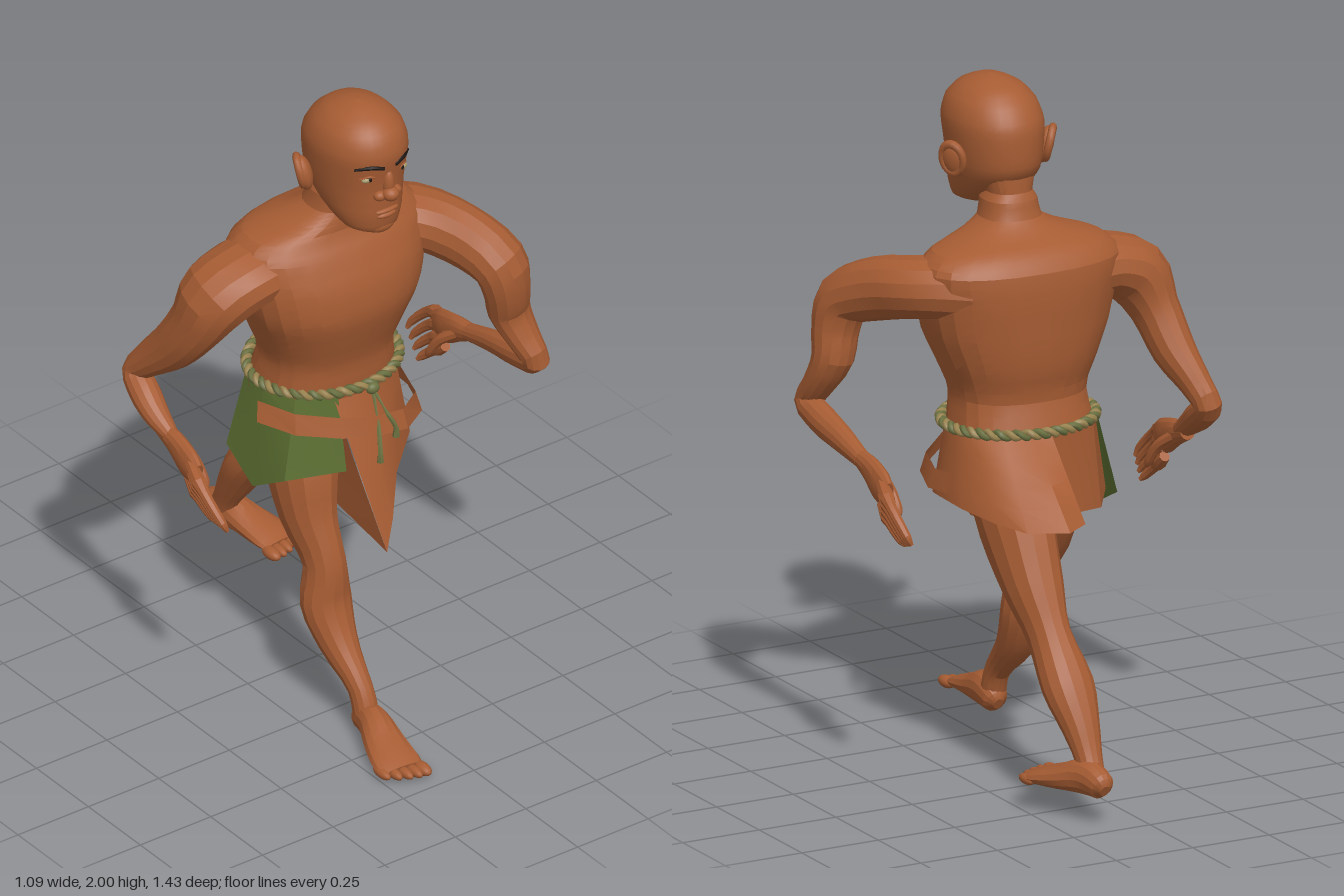
import * as THREE from 'three';
import { toCreasedNormals } from 'three/addons/utils/BufferGeometryUtils.js';

const mat = (name, color, side = THREE.FrontSide) => {
  const m = new THREE.MeshStandardMaterial({ color, side });
  m.name = name;
  return m;
};

// Lofted body through sections [x, y, z, radiusA, radiusB]; radiusA starts along ref; level keeps rings horizontal
function loft(pts, { level = false, sides = 14, steps = 3, power = 1, crease = 0.3, ref = [1, 0, 0] } = {}) {
  const path = new THREE.CatmullRomCurve3(pts.map(p => new THREE.Vector3(p[0], p[1], p[2])));
  const radii = new THREE.CatmullRomCurve3(pts.map(p => new THREE.Vector3(p[3], p[4], 0)));
  const n = (pts.length - 1) * steps, pos = [], idx = [], a = new THREE.Vector3(...ref);
  const shape = v => Math.sign(v) * Math.abs(v) ** power;
  for (let i = 0; i <= n; i++) {
    const c = path.getPoint(i / n), r = radii.getPoint(i / n);
    const t = level ? new THREE.Vector3(0, 1, 0) : path.getTangent(i / n);
    a.addScaledVector(t, -a.dot(t)).normalize();
    const b = t.clone().cross(a);
    for (let j = 0; j < sides; j++) {
      const w = j / sides * Math.PI * 2;
      const p = c.clone().addScaledVector(a, r.x * shape(Math.cos(w))).addScaledVector(b, r.y * shape(Math.sin(w)));
      pos.push(p.x, p.y, p.z);
    }
  }
  const s = (n + 1) * sides, at = (i, j) => i * sides + j % sides;
  pos.push(...path.getPoint(0).toArray(), ...path.getPoint(1).toArray());
  for (let j = 0; j < sides; j++) {
    for (let i = 0; i < n; i++)
      idx.push(at(i, j), at(i, j + 1), at(i + 1, j + 1), at(i, j), at(i + 1, j + 1), at(i + 1, j));
    idx.push(s, at(0, j + 1), at(0, j), s + 1, at(n, j), at(n, j + 1));
  }
  const g = new THREE.BufferGeometry();
  g.setAttribute('position', new THREE.Float32BufferAttribute(pos, 3));
  g.setIndex(idx);
  g.computeVertexNormals();
  return crease ? toCreasedNormals(g, crease) : g;
}

// Cloth sheet hung between columns of [top point, bottom point]
function sheet(cols, rows = 4) {
  const pos = [], idx = [];
  cols.forEach(([t, b]) => {
    for (let r = 0; r <= rows; r++) for (let k = 0; k < 3; k++) pos.push(t[k] + (b[k] - t[k]) * r / rows);
  });
  for (let i = 0; i < cols.length - 1; i++) for (let r = 0; r < rows; r++) {
    const a = i * (rows + 1) + r, b = a + rows + 1;
    idx.push(a, a + 1, b + 1, a, b + 1, b);
  }
  const g = new THREE.BufferGeometry();
  g.setAttribute('position', new THREE.Float32BufferAttribute(pos, 3));
  g.setIndex(idx);
  g.computeVertexNormals();
  return toCreasedNormals(g, 0.5);
}

export function createModel() {
  const root = new THREE.Group();
  const skin = mat('skin', 0xa65c33), dark = mat('brow', 0x1c1511), eyeWhite = mat('eyeWhite', 0xa89a70);
  const tan = mat('tanRope', 0x9a8450), olive = mat('oliveRope', 0x6a7040);
  const cloth = mat('cloth', 0xa65c33, THREE.DoubleSide), green = mat('greenCloth', 0x5a6c30, THREE.DoubleSide);
  const add = (name, geo, m, parent = root) => {
    const mesh = new THREE.Mesh(geo, m);
    mesh.name = name;
    parent.add(mesh);
    return mesh;
  };
  const ball = (name, p, s, m = skin, parent = root) => {
    const b = add(name, new THREE.SphereGeometry(1, 16, 12), m, parent);
    b.position.set(...p);
    b.scale.set(...s);
    return b;
  };
  // Horizontal section from [y, half width, back z, front z]
  const slice = ([y, w, back, front]) => [0, y, (back + front) / 2, w, (front - back) / 2];

  // Torso and neck
  add('torso', loft([[0.78, 0.12, -0.08, 0.1], [0.9, 0.2, -0.15, 0.15], [1, 0.212, -0.16, 0.19], [1.1, 0.2, -0.13, 0.195],
    [1.2, 0.235, -0.148, 0.225], [1.3, 0.278, -0.155, 0.252], [1.4, 0.3, -0.158, 0.24], [1.49, 0.31, -0.15, 0.2],
    [1.54, 0.265, -0.11, 0.17], [1.575, 0.155, -0.05, 0.165], [1.61, 0.09, -0.01, 0.163], [1.66, 0.08, 0.005, 0.165],
    [1.73, 0.08, 0.02, 0.18]].map(slice), { level: true, sides: 24, power: 0.85 }), skin);

  // Head
  add('head', loft([[1.608, 0.035, 0.22, 0.305], [1.63, 0.082, 0.16, 0.325], [1.68, 0.108, 0.07, 0.335], [1.74, 0.122, 0.008, 0.337],
    [1.8, 0.131, 0.0, 0.34], [1.87, 0.137, 0.003, 0.35], [1.93, 0.122, 0.035, 0.335], [1.97, 0.087, 0.08, 0.295],
    [1.993, 0.04, 0.14, 0.24], [2, 0.004, 0.185, 0.195]].map(slice), { level: true, sides: 32, power: 0.95, crease: 0 }), skin);
  ball('noseBridge', [0, 1.79, 0.336], [0.018, 0.045, 0.02]);
  ball('noseTip', [0, 1.76, 0.348], [0.026, 0.022, 0.026]);
  ball('upperLip', [0, 1.697, 0.331], [0.04, 0.008, 0.012]);
  ball('lowerLip', [0, 1.68, 0.328], [0.034, 0.01, 0.013]);
  ball('chin', [0, 1.635, 0.303], [0.045, 0.025, 0.025]);

  for (const s of [-1, 1]) {
    ball('nostril', [s * 0.027, 1.755, 0.333], [0.02, 0.016, 0.018]);
    ball('eye', [s * 0.058, 1.815, 0.318], [0.022, 0.01, 0.012], eyeWhite);
    ball('iris', [s * 0.056, 1.816, 0.326], [0.008, 0.008, 0.005], dark);
    add('upperEyelid', loft([[s * 0.034, 1.818, 0.332, 0.003, 0.003], [s * 0.058, 1.828, 0.329, 0.004, 0.004],
      [s * 0.082, 1.817, 0.31, 0.003, 0.003]], { sides: 6 }), skin);
    add('eyebrow', loft([[s * 0.02, 1.85, 0.345, 0.006, 0.006], [s * 0.055, 1.86, 0.334, 0.008, 0.008],
      [s * 0.095, 1.85, 0.302, 0.004, 0.004]], { sides: 8 }), dark);
    // Ear with raised rim, top leaning outward
    const ear = new THREE.Group();
    ear.name = 'ear';
    ear.position.set(s * 0.15, 1.778, 0.135);
    ear.rotation.set(0, s * 0.55, -s * 0.22);
    root.add(ear);
    ball('earShell', [0, 0, 0], [0.024, 0.056, 0.038], skin, ear);
    const rim = add('earRim', new THREE.TorusGeometry(0.041, 0.012, 8, 20), skin, ear);
    rim.position.set(s * 0.01, 0.008, -0.003);
    rim.rotation.y = Math.PI / 2;
    rim.scale.set(0.85, 1.12, 1);
    ball('buttock', [s * 0.09, 0.9, -0.06], [0.11, 0.1, 0.1]);
  }

  // Arms: the left elbow points forward, the right elbow points back
  const armShape = { ref: [0, 0, 1] };
  add('leftArm', loft([[0.16, 1.43, 0.0, 0.13, 0.1], [0.28, 1.432, 0.07, 0.11, 0.09], [0.36, 1.405, 0.2, 0.085, 0.093],
    [0.41, 1.35, 0.31, 0.088, 0.082], [0.43, 1.265, 0.325, 0.08, 0.068], [0.445, 1.18, 0.315, 0.07, 0.06],
    [0.465, 1.1, 0.355, 0.055, 0.047], [0.48, 1.035, 0.395, 0.04, 0.042], [0.488, 1.005, 0.3, 0.04, 0.044],
    [0.49, 0.98, 0.18, 0.032, 0.038], [0.49, 0.95, 0.06, 0.026, 0.026]], armShape), skin);
  add('rightArm', loft([[-0.16, 1.43, 0.02, 0.13, 0.1], [-0.28, 1.432, 0.03, 0.13, 0.09], [-0.375, 1.39, 0.02, 0.12, 0.1],
    [-0.42, 1.29, -0.02, 0.095, 0.072], [-0.44, 1.18, -0.1, 0.075, 0.063], [-0.465, 1.1, -0.18, 0.055, 0.047],
    [-0.48, 1.045, -0.225, 0.04, 0.042], [-0.49, 1.0, -0.17, 0.042, 0.046], [-0.495, 0.96, -0.11, 0.035, 0.04],
    [-0.49, 0.92, -0.05, 0.026, 0.026]], armShape), skin);

  // Hand reaching along z in direction d
  const hand = (name, s, y, z, d) => {
    const P = (x, up, f, a, b) => [s * (0.49 + x), y + up, z + d * f, a, b];
    add(name + 'Palm', loft([P(0, 0.005, -0.02, 0.024, 0.024), P(0, -0.015, 0.05, 0.026, 0.04),
      P(0.005, -0.045, 0.12, 0.026, 0.052), P(0.01, -0.06, 0.165, 0.018, 0.042)]), skin);
    for (let k = 0; k < 4; k++) {
      const x = 0.03 - k * 0.014;
      add(name + 'Finger', loft([P(x * 0.5, -0.03 - k * 0.024, 0.14 - k * 0.012, 0.016, 0.016),
        P(x + 0.01, -0.07 - k * 0.026, 0.24 - k * 0.025, 0.016, 0.016),
        P(x, -0.14 - k * 0.016, 0.315 - k * 0.035, 0.013, 0.013), P(x - 0.01, -0.165 - k * 0.012, 0.325 - k * 0.035, 0.006, 0.006)],
      { sides: 8 }), skin);
    }
    add(name + 'Thumb', loft([P(-0.01, -0.02, 0.04, 0.018, 0.018), P(-0.035, -0.06, 0.09, 0.016, 0.016),
      P(-0.045, -0.12, 0.13, 0.013, 0.013), P(-0.045, -0.135, 0.14, 0.006, 0.006)], { sides: 8 }), skin);
  };
  hand('leftHand', 1, 0.95, 0.06, -1);
  hand('rightHand', -1, 0.92, -0.07, 1);

  // Legs: right one strides forward, left one trails
  add('rightLeg', loft([[-0.1, 0.93, 0.01, 0.1, 0.11], [-0.125, 0.78, 0.08, 0.1, 0.13], [-0.14, 0.62, 0.14, 0.078, 0.105],
    [-0.137, 0.49, 0.215, 0.06, 0.073], [-0.14, 0.37, 0.225, 0.079, 0.066], [-0.135, 0.25, 0.28, 0.058, 0.058],
    [-0.13, 0.14, 0.38, 0.036, 0.04], [-0.13, 0.06, 0.41, 0.037, 0.042]]), skin);
  add('leftLeg', loft([[0.1, 0.93, -0.04, 0.11, 0.12], [0.12, 0.76, -0.18, 0.102, 0.135], [0.13, 0.61, -0.3, 0.085, 0.1],
    [0.13, 0.49, -0.39, 0.062, 0.075], [0.125, 0.37, -0.49, 0.079, 0.066], [0.12, 0.26, -0.56, 0.056, 0.052],
    [0.12, 0.18, -0.605, 0.04, 0.04], [0.125, 0.12, -0.635, 0.037, 0.042]]), skin);

  // Foot with toes; dy and dz place it
  const foot = (name, s, dy, dz) => {
    add(name, loft([[0.125, 0.04, 0.365, 0.015, 0.018], [0.125, 0.05, 0.385, 0.038, 0.042], [0.135, 0.062, 0.45, 0.046, 0.053],
      [0.16, 0.045, 0.54, 0.062, 0.038], [0.178, 0.031, 0.62, 0.071, 0.024], [0.182, 0.025, 0.655, 0.065, 0.016]]
      .map(p => [s * p[0], p[1] + dy, p[2] + dz, p[3], p[4]])), skin);
    for (let k = 0; k < 5; k++)
      ball(name + 'Toe', [s * (0.128 + k * 0.027), 0.022 + dy, 0.675 - k * k * 0.003 + dz],
        [k ? 0.015 : 0.02, k ? 0.015 : 0.018, 0.038]);
  };
  foot('rightFoot', -1, 0, 0);
  foot('leftFoot', 1, 0.072, -1.075);

  // Loincloth wrapping the hips, with a long pointed front flap
  add('loincloth', sheet([
    [[-0.09, 1.01, 0.2], [-0.065, 0.6, 0.42]], [[0, 1.01, 0.21], [0, 0.66, 0.36]], [[0.1, 1.01, 0.19], [0.08, 0.74, 0.27]],
    [[0.18, 1.01, 0.13], [0.2, 0.78, 0.17]], [[0.215, 1.01, 0.03], [0.265, 0.82, 0.03]], [[0.215, 1.01, -0.05], [0.27, 0.82, -0.13]],
    [[0.19, 1.01, -0.11], [0.24, 0.81, -0.27]], [[0.14, 1.01, -0.15], [0.19, 0.8, -0.37]], [[0.06, 1.01, -0.17], [0.08, 0.8, -0.425]],
    [[0, 1.01, -0.175], [0, 0.8, -0.37]]]), cloth);
  add('flapFold', sheet([[[-0.085, 0.95, 0.22], [-0.065, 0.6, 0.42]], [[-0.05, 0.85, 0.03], [-0.05, 0.65, 0]]]), cloth);
  add('backCloth', sheet([[[0, 1.01, -0.175], [-0.02, 0.79, -0.17]], [[-0.08, 1.01, -0.17], [-0.08, 0.77, -0.18]],
    [[-0.16, 1.01, -0.13], [-0.18, 0.76, -0.14]], [[-0.215, 1.01, -0.04], [-0.25, 0.78, -0.04]]]), cloth);
  add('greenCloth', sheet([[[-0.205, 1.02, -0.07], [-0.26, 0.78, -0.09]], [[-0.225, 1.02, 0.04], [-0.27, 0.71, 0.05]],
    [[-0.185, 1.02, 0.14], [-0.245, 0.78, 0.17]], [[-0.08, 1.02, 0.205], [-0.08, 0.79, 0.245]]]), green);
  const band = [[-0.265, 0.97, 0.06], [-0.21, 0.96, 0.17], [-0.1, 0.945, 0.245], [0, 0.925, 0.268], [0.12, 0.9, 0.255],
    [0.23, 0.875, 0.17], [0.28, 0.87, 0.03], [0.275, 0.88, -0.07]];
  add('sash', sheet(band.map(([x, y, z]) => [[x * 0.97, y + 0.03, z - 0.004], [x * 1.02, y - 0.03, z + 0.012]]), 1), cloth);

  // Two-strand rope belt with hanging ends
  [tan, olive].forEach((strand, k) => {
    const pts = [];
    for (let i = 0; i < 240; i++) {
      const w = i / 240 * Math.PI * 2, q = w * 24 + k * Math.PI, r = 0.008 * Math.cos(q);
      pts.push(new THREE.Vector3(0.01 + (0.228 + r) * Math.cos(w), 1.028 + 0.008 * Math.sin(q), 0.008 + (0.2 + r) * Math.sin(w)));
    }
    add('ropeBelt', new THREE.TubeGeometry(new THREE.CatmullRomCurve3(pts, true), 300, 0.01, 6, true), strand);
  });
  ball('ropeKnot', [0.03, 1.02, 0.222], [0.022, 0.018, 0.016], olive);
  for (const [x, y, z] of [[0.07, 0.87, 0.28], [0, 0.82, 0.3]])
    add('ropeEnd', loft([[0.03, 1.02, 0.22, 0.007, 0.007], [(x + 0.03) / 2, (1.02 + y) / 2, 0.27, 0.007, 0.007],
      [x, y + 0.03, z, 0.008, 0.008], [x, y, z, 0.011, 0.011]], { sides: 6 }), olive);
  return root;
}
